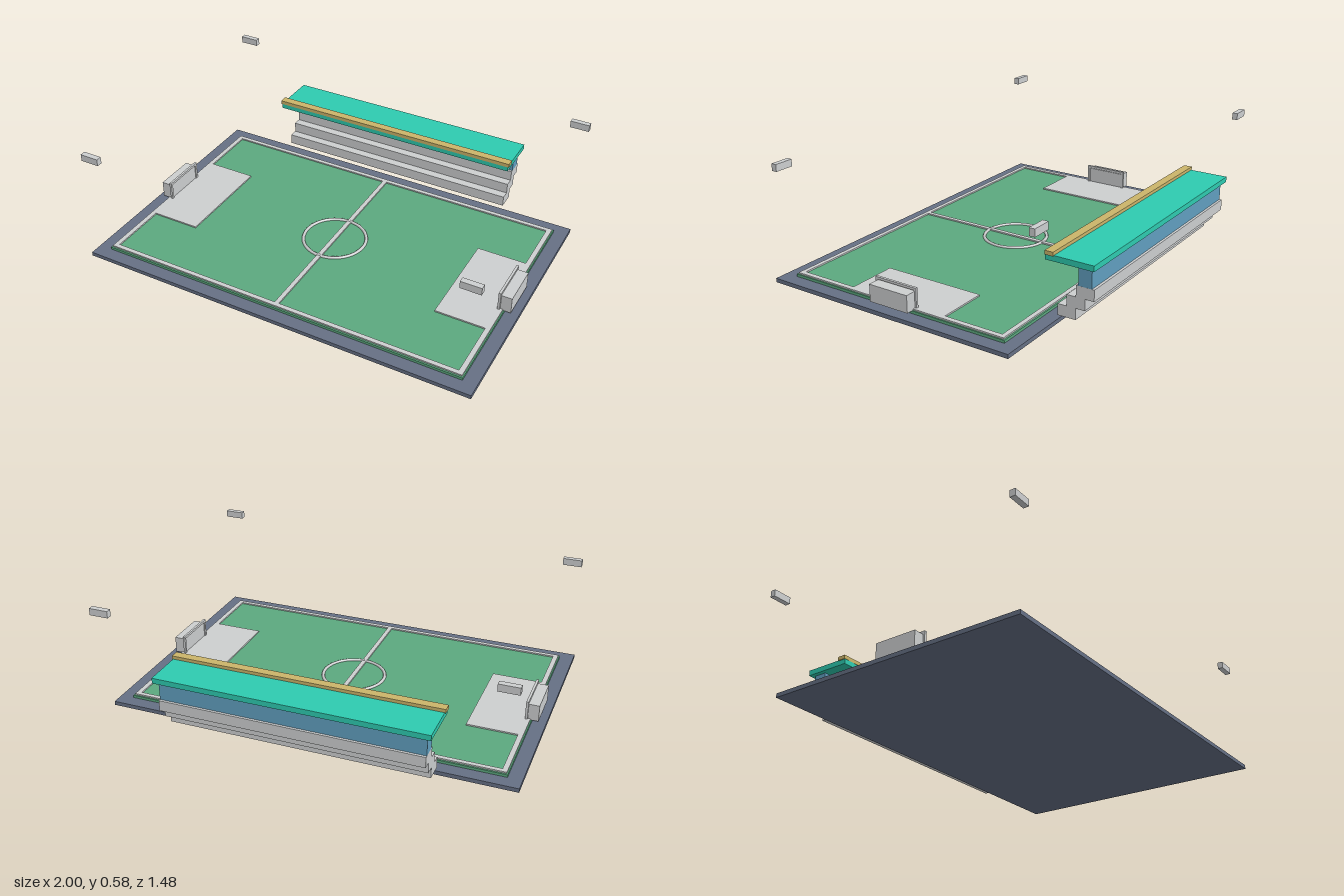
import * as THREE from 'three';

const mat = (name, color) => {
  const m = new THREE.MeshStandardMaterial({ color });
  m.name = name;
  return m;
};

export function createModel() {
  const model = new THREE.Group();
  model.name = 'footballGround';

  const slate = mat('slate', 0x667085);
  const green = mat('turfGreen', 0x5ca97f);
  const white = mat('chalkGrey', 0xcdcfd0);
  const teal = mat('roofTeal', 0x2ecbb0);
  const gold = mat('trimGold', 0xcbb56a);
  const blue = mat('glassBlue', 0x619fc0);

  // Box given by its limits on each axis
  const box = (name, material, [x0, x1], [y0, y1], [z0, z1], parent = model) => {
    const mesh = new THREE.Mesh(new THREE.BoxGeometry(x1 - x0, y1 - y0, z1 - z0), material);
    mesh.position.set((x0 + x1) / 2, (y0 + y1) / 2, (z0 + z1) / 2);
    mesh.name = name;
    parent.add(mesh);
    return mesh;
  };
  const about = (c, half) => [c - half, c + half];
  const cz = 0.092; // pitch centre along z

  // Ground slab and turf
  box('base', slate, [-1, 1], [0, 0.02], about(cz, 0.6466));
  box('turf', green, [-0.933, 0.933], [0.02, 0.033], about(cz, 0.582));

  // Pitch markings
  const lineY = [0.032, 0.04];
  for (const s of [-1, 1]) {
    box('touchLine', white, [-0.927, 0.927], lineY, about(cz + s * 0.563, 0.011));
    box('goalLine', white, about(s * 0.915, 0.012), lineY, about(cz, 0.552));
    box('penaltyArea', white, about(s * 0.78, 0.123), lineY, about(cz, 0.258));
  }
  box('halfwayLine', white, [-0.011, 0.011], lineY, about(cz, 0.552));
  const circle = new THREE.Mesh(new THREE.TorusGeometry(0.156, 0.008, 8, 48), white);
  circle.name = 'centreCircle';
  circle.rotation.x = -Math.PI / 2;
  circle.position.set(0, 0.035, cz);
  model.add(circle);

  // Goals: frame facing the pitch, net block behind
  for (const s of [-1, 1]) {
    const goal = new THREE.Group();
    goal.name = s > 0 ? 'leftGoal' : 'rightGoal';
    model.add(goal);
    const frameX = about(s * 0.908, 0.006);
    for (const t of [-1, 1]) {
      box('post', white, frameX, [0.034, 0.121], about(cz + t * 0.107, 0.006), goal);
    }
    box('crossbar', white, frameX, [0.121, 0.133], about(cz, 0.113), goal);
    box('net', white, about(s * 0.9365, 0.0285), [0.034, 0.117], about(cz, 0.1045), goal);
  }

  // Grandstand: stepped terraces, glazed box, roof and trim
  const stand = new THREE.Group();
  stand.name = 'grandstand';
  model.add(stand);
  for (let i = 0; i < 3; i++) {
    const y = 0.04 + i * 0.0533;
    const z = -0.555 - i * 0.0435;
    box('terrace', white, [-0.634, 0.634], [y, y + 0.0533], [z - 0.088, z], stand);
  }
  box('glassWall', blue, [-0.634, 0.634], [0.2, 0.29], [-0.718, -0.653], stand);
  box('roof', teal, [-0.655, 0.655], [0.29, 0.317], [-0.7386, -0.505], stand);
  box('roofTrim', gold, [-0.66, 0.66], [0.314, 0.333], [-0.546, -0.504], stand);

  // Floating floodlight heads at the four corners
  for (const x of [-0.945, 0.945]) {
    for (const z of [-0.662, 0.697]) {
      box('floodlight', white, about(x, 0.047), [0.543, 0.577], about(z, 0.0135));
    }
  }
  return model;
}
